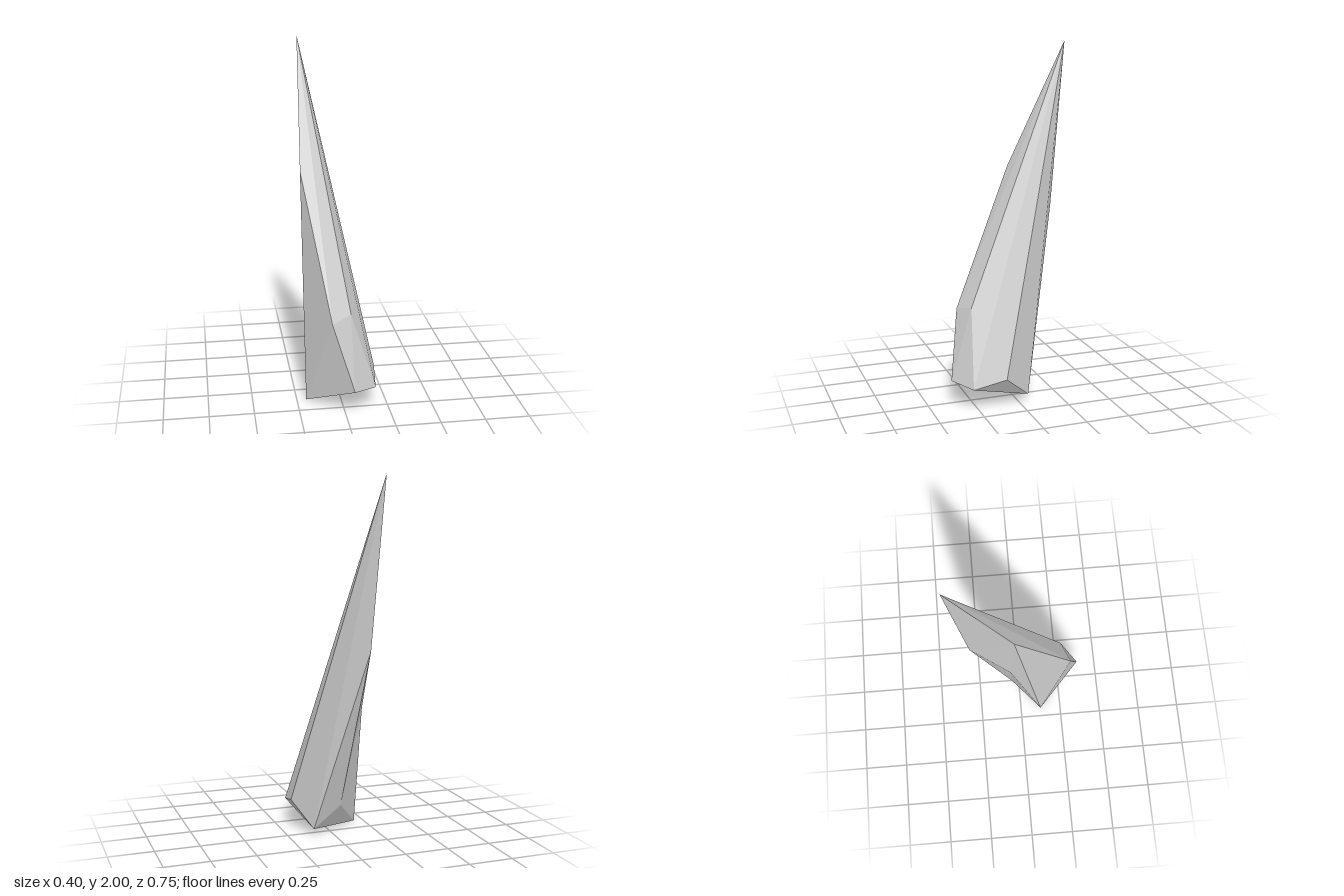
import * as THREE from 'three';

// Corners of the leaning crystal shard
const corners = {
  tip: [-0.175, 2, -0.375],
  leftRidge: [-0.2, 1.3, -0.04],
  foot: [-0.197, 0, 0.125],
  frontShoulder: [-0.07, 0.53, 0.307],
  frontBase: [0.045, 0.15, 0.375],
  sideBase: [0.175, 0.13, 0.285],
  sideCorner: [0.198, 0.175, 0.1],
  backBase: [0.113, 0.04, -0.056],
  backRidge: [-0.134, 1.07, -0.28],
  backNotch: [-0.05, 0.16, -0.046],
  backShoulder: [-0.17, 0.72, -0.062],
  frontRidge: [0.04, 0.56, 0.253],
};

// Facets, grouped around the shard
const facets = [
  // long facets meeting at the tip
  'tip leftRidge frontShoulder', 'tip frontShoulder frontRidge', 'tip frontRidge sideBase',
  'tip sideBase sideCorner', 'tip sideCorner backBase', 'tip backBase backRidge', 'tip backRidge leftRidge',
  // back facets
  'leftRidge backShoulder foot', 'backRidge backShoulder leftRidge', 'backRidge backNotch backShoulder',
  'backNotch foot backShoulder', 'backRidge backBase backNotch', 'backNotch backBase foot',
  // front and side facets
  'sideCorner sideBase backBase', 'frontShoulder frontBase frontRidge', 'frontRidge frontBase sideBase',
  'leftRidge foot frontShoulder', 'frontShoulder foot frontBase',
  // underside
  'frontBase foot sideBase', 'sideBase foot backBase',
];

export function createModel() {
  const points = Object.fromEntries(
    Object.entries(corners).map(([name, p]) => [name, new THREE.Vector3(...p)]));
  const centre = new THREE.Vector3();
  for (const p of Object.values(points)) centre.addScaledVector(p, 1 / 12);

  // Wind every facet so that it faces away from the centre
  const positions = [];
  for (const facet of facets) {
    let [a, b, c] = facet.split(' ').map((name) => points[name]);
    const normal = new THREE.Triangle(a, b, c).getNormal(new THREE.Vector3());
    if (normal.dot(a.clone().sub(centre)) < 0) [b, c] = [c, b];
    for (const p of [a, b, c]) positions.push(p.x, p.y, p.z);
  }
  const geometry = new THREE.BufferGeometry();
  geometry.setAttribute('position', new THREE.Float32BufferAttribute(positions, 3));
  geometry.computeVertexNormals();

  const shard = new THREE.Mesh(geometry,
    new THREE.MeshStandardMaterial({ color: 0xcccccc, flatShading: true }));
  shard.name = 'crystalShard';
  const group = new THREE.Group();
  group.name = 'crystal';
  group.add(shard);
  return group;
}
